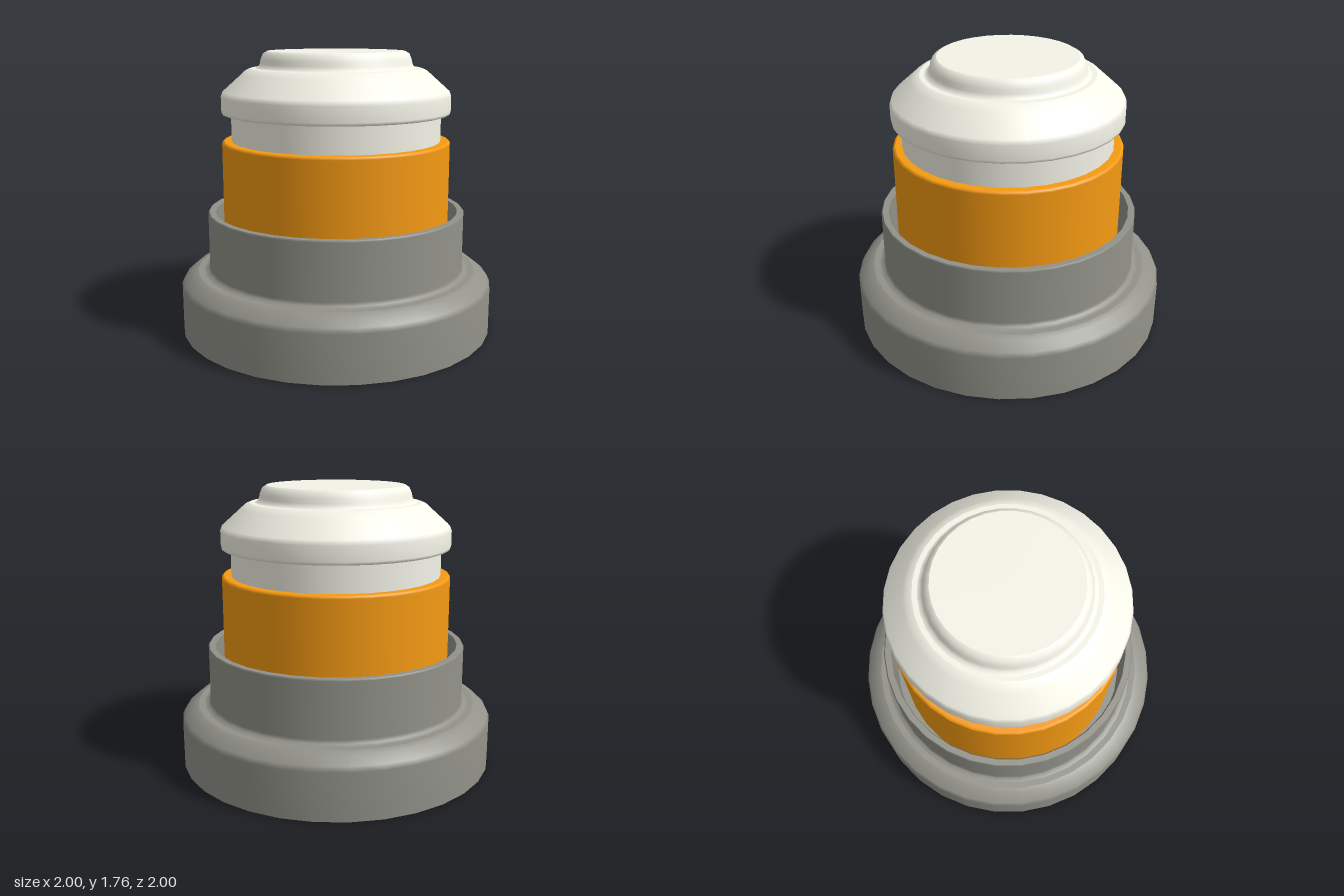
import * as THREE from 'three';

const SEGMENTS = 32;

// Turned part from [radius, height, sharp?] points; a sharp point is doubled to split its normals.
function turned(name, color, profile) {
  const points = [];
  for (const [r, y, sharp] of profile) {
    points.push(new THREE.Vector2(r, y));
    if (sharp) points.push(new THREE.Vector2(r, y));
  }
  const mesh = new THREE.Mesh(
    new THREE.LatheGeometry(points, SEGMENTS),
    new THREE.MeshStandardMaterial({ color })
  );
  mesh.name = name;
  return mesh;
}

export function createModel() {
  const group = new THREE.Group();
  group.name = 'pushButton';
  const grey = 0x92928a, orange = 0xf59a12, ivory = 0xf4f4e8;

  // Wide foot with a chamfered shoulder, rising into a hollow collar
  group.add(turned('base', grey, [
    [0, 0], [1, 0, true], [1, 0.295], [0.985, 0.325], [0.93, 0.37], [0.895, 0.383, true],
    [0.855, 0.383, true], [0.83, 0.39], [0.82, 0.41], [0.82, 0.755], [0.813, 0.765, true],
    [0.777, 0.765, true], [0.77, 0.755], [0.77, 0.4, true], [0, 0.4],
  ]));

  // Coloured sleeve standing inside the collar
  group.add(turned('sleeve', orange, [
    [0.72, 0.4], [0.72, 1.195], [0.716, 1.207], [0.705, 1.212, true],
    [0.655, 1.212, true], [0.655, 1.15],
  ]));

  // Neck between sleeve and cap
  group.add(turned('neck', ivory, [[0.66, 1.2], [0.66, 1.39]]));

  // Bevelled cap with a raised, rounded top
  group.add(turned('cap', ivory, [
    [0.65, 1.38], [0.705, 1.38, true], [0.717, 1.385], [0.72, 1.4], [0.72, 1.49],
    [0.708, 1.52], [0.59, 1.625], [0.565, 1.648], [0.535, 1.66, true],
    [0.505, 1.66, true], [0.485, 1.667], [0.475, 1.69], [0.47, 1.715],
    [0.455, 1.75], [0.43, 1.765, true], [0, 1.765],
  ]));

  return group;
}
